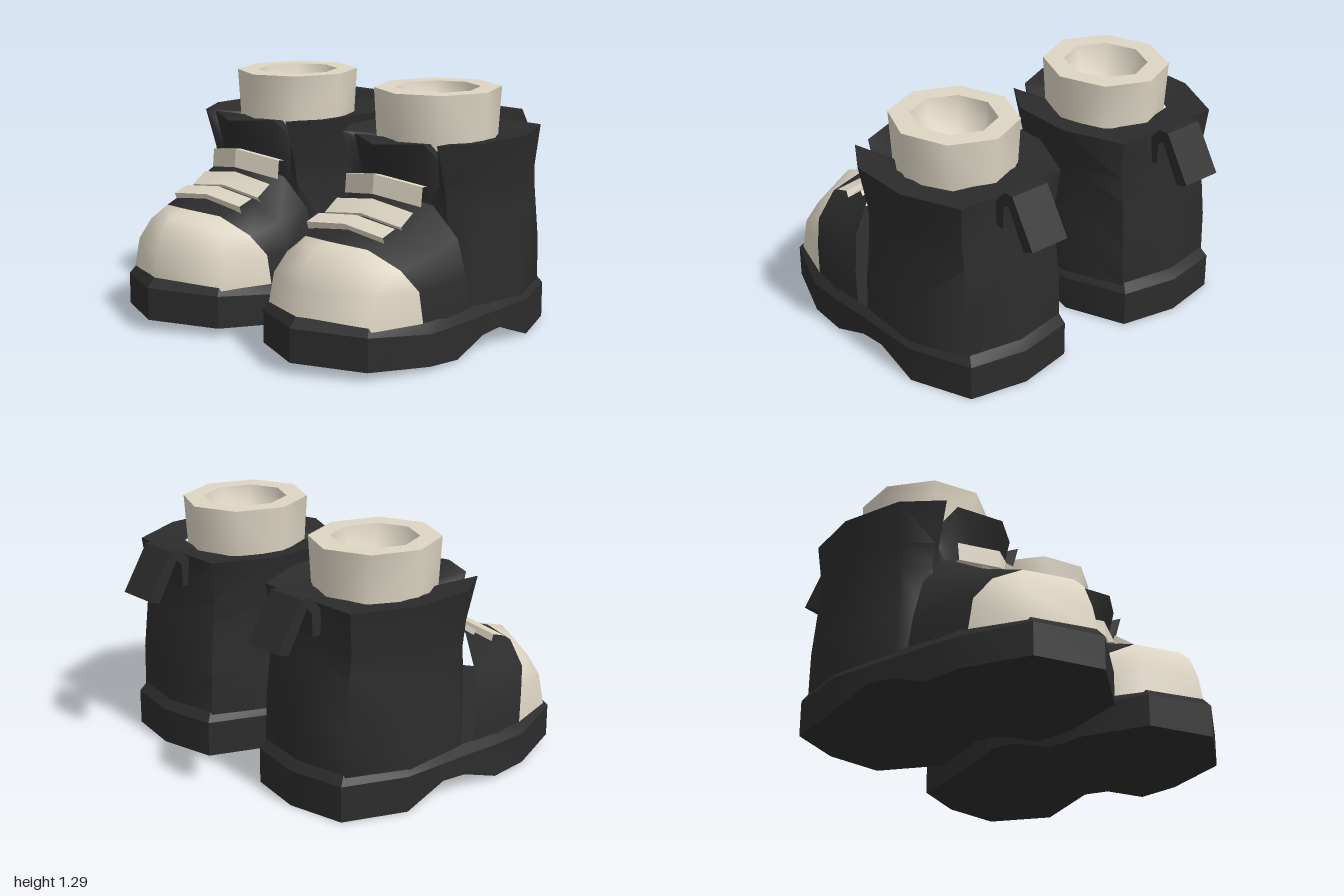
import * as THREE from 'three';
import { toCreasedNormals } from 'three/addons/utils/BufferGeometryUtils.js';

const dark = new THREE.MeshStandardMaterial({ name: 'dark leather', color: 0x2c2c2c });
const cream = new THREE.MeshStandardMaterial({ name: 'cream', color: 0xddd5c3 });

const CX = 0.525; // centre line of one boot

// Half outlines start on the centre line; these mirror them to a ring or an arch.
const flipX = ([x, y, z]) => [-x, y, z];
const ring = (h) => [...h, ...h.slice(1, -1).reverse().map(flipX)];
const arch = (h) => [...h.slice(1).reverse().map(flipX), ...h];
// Rows of left/right pairs that close a ring
const pairs = (h) => h.map((p) => [flipX(p), p]);

// Skins several grids of points into one geometry
function skin(...grids) {
  const pos = [], index = [];
  for (const { rows, closed } of grids) {
    const base = pos.length / 3, n = rows[0].length;
    rows.forEach((r) => r.forEach((p) => pos.push(...p)));
    for (let i = 0; i < rows.length - 1; i++) {
      for (let j = 0; j < (closed ? n : n - 1); j++) {
        const k = (j + 1) % n;
        const a = base + i * n + j, b = base + i * n + k;
        index.push(a, b, b + n, a, b + n, a + n);
      }
    }
  }
  const g = new THREE.BufferGeometry();
  g.setAttribute('position', new THREE.Float32BufferAttribute(pos, 3));
  g.setIndex(index);
  return g;
}

// Mirrored copy with the corner order restored
function mirrored(geo) {
  const g = geo.clone().scale(-1, 1, 1);
  for (const attr of Object.values(g.attributes)) {
    const s = attr.itemSize, a = attr.array;
    for (let t = 0; t < a.length; t += 3 * s) {
      for (let k = 0; k < s; k++) {
        const v = a[t + s + k];
        a[t + s + k] = a[t + 2 * s + k];
        a[t + 2 * s + k] = v;
      }
    }
  }
  return g;
}

function soleGeometry() {
  // x, z, underside height, upper edge height
  const plan = [
    [0, 0.93, 0.06, 0.235], [0.355, 0.76, 0.047, 0.22], [0.472, 0.43, 0.025, 0.19],
    [0.472, 0.22, 0.01, 0.19], [0.46, 0, 0.085, 0.19], [0.455, -0.15, 0.095, 0.19],
    [0.445, -0.39, 0, 0.19], [0.31, -0.715, 0, 0.19], [0, -0.775, 0, 0.19],
  ];
  const bottom = plan.map(([x, z, b]) => [x, b, z]);
  const edge = plan.map(([x, z, , t]) => [x, t, z]);
  const bevel = plan.map(([x, z, , t]) => [x * 0.93, t + 0.05, z * 0.95]);
  return skin(
    { rows: [ring(bottom), ring(edge), ring(bevel)], closed: true },
    { rows: pairs(bottom).reverse() },
    { rows: pairs(bevel) },
  );
}

function shaftGeometry() {
  const level = (y, pts) => ring(pts.map(([x, z, h = y]) => [x, h, z]));
  return skin({
    closed: true,
    rows: [
      level(0.2, [[0, 0.15], [0.2, 0.15], [0.27, 0.13], [0.34, 0.1], [0.432, 0], [0.43, -0.37], [0.3, -0.68], [0, -0.737]]),
      level(0.45, [[0, 0.15], [0.2, 0.15], [0.27, 0.13], [0.34, 0.1], [0.42, 0], [0.42, -0.37], [0.3, -0.675], [0, -0.735]]),
      level(0.72, [[0, 0.17], [0.2, 0.15], [0.26, 0.12], [0.31, 0.12], [0.395, -0.02], [0.4, -0.35], [0.29, -0.65], [0, -0.71]]),
      level(0.85, [[0, 0.22], [0.22, 0.16], [0.26, 0.12], [0.31, 0.14], [0.405, -0.01], [0.41, -0.35], [0.295, -0.635], [0, -0.685]]),
      // Collar rim with a notch on either side of the tongue
      level(1.07, [[0, 0.33, 1.055], [0.23, 0.215], [0.265, 0.12, 0.97], [0.315, 0.21], [0.445, 0], [0.447, -0.35], [0.31, -0.66], [0, -0.665]]),
      level(1.04, [[0, 0.1], [0.15, 0.06], [0.19, 0.04, 0.99], [0.22, 0], [0.28, -0.1], [0.28, -0.3], [0.2, -0.45], [0, -0.5]]),
    ],
  });
}

// Edge shared by the toe cap and the vamp
const capEdge = [[0, 0.615, 0.65], [0.21, 0.6, 0.6], [0.36, 0.51, 0.53], [0.42, 0.4, 0.46], [0.432, 0.23, 0.44]];

function toeCapGeometry() {
  return skin({
    rows: [
      [[0, 0.25, 0.89], [0.35, 0.23, 0.73], capEdge[4]],
      [[0, 0.41, 0.865], [0.335, 0.41, 0.7], capEdge[3]],
      [[0, 0.53, 0.82], [0.28, 0.52, 0.66], capEdge[2]],
      [[0, 0.585, 0.765], [0.17, 0.59, 0.65], capEdge[1]],
      [capEdge[0], capEdge[0], capEdge[0]],
    ].map(arch),
  });
}

function vampGeometry() {
  return skin({
    rows: [
      capEdge,
      [[0, 0.675, 0.42], [0.26, 0.645, 0.4], [0.395, 0.54, 0.34], [0.435, 0.4, 0.3], [0.445, 0.23, 0.27]],
      [[0, 0.8, 0.2], [0.27, 0.76, 0.18], [0.39, 0.6, 0.13], [0.425, 0.4, 0.1], [0.435, 0.22, 0.08]],
    ].map(arch),
  });
}

// Chevron band: centre, run across its width and drop of its ends, all in (z, y)
function laceGeometry([cz, cy], [dz, dy], [ez, ey]) {
  const len = Math.hypot(dz, dy), t = 0.02;
  const nz = (dy / len) * t, ny = (-dz / len) * t;
  const section = (x, oz, oy) => [[-1, 1], [1, 1], [1, -1], [-1, -1]].map(([a, b]) =>
    [x, cy + oy + (a * dy) / 2 + b * ny, cz + oz + (a * dz) / 2 + b * nz]);
  const left = section(-0.258, ez, ey), mid = section(0, 0, 0), right = section(0.258, ez, ey);
  const cap = ([a, b, c, d]) => ({ rows: [[a, b], [d, c]] });
  const [a, b, c, d] = left;
  return skin({ rows: [left, mid, right].map((r) => [...r].reverse()), closed: true }, cap([b, a, d, c]), cap(right))
    .translate(-0.02, 0, 0);
}

function sockGeometry() {
  const profile = [[0.315, 1], [0.332, 1.29], [0.222, 1.29], [0.2, 1.19], [0.13, 1.11], [0, 1.08]];
  return new THREE.LatheGeometry(profile.map(([x, y]) => new THREE.Vector2(x, y)), 8)
    .scale(0.98, 1, 1.04).translate(-0.013, 0, -0.193);
}

function pullTabGeometry() {
  const side = [[-0.655, 0.91], [-0.655, 1.04], [-0.69, 1.08], [-0.725, 1.115], [-0.78, 1.115], [-0.93, 0.875],
    [-0.865, 0.85], [-0.745, 1.06], [-0.715, 1.03], [-0.71, 0.91]];
  const shape = new THREE.Shape(side.map(([z, y]) => new THREE.Vector2(z, y)));
  return new THREE.ExtrudeGeometry(shape, { depth: 0.22, bevelEnabled: false })
    .rotateY(-Math.PI / 2).translate(0.1, 0, 0);
}

export function createModel() {
  const model = new THREE.Group();
  model.name = 'bootPair';
  const left = new THREE.Group(), right = new THREE.Group();
  left.name = 'leftBoot';
  right.name = 'rightBoot';
  model.add(left, right);

  const add = (name, geo, material, crease) => {
    geo.deleteAttribute('uv');
    const g = toCreasedNormals(geo.translate(CX, 0, 0), crease);
    for (const [group, shape] of [[left, g], [right, mirrored(g)]]) {
      const mesh = new THREE.Mesh(shape, material);
      mesh.name = name;
      group.add(mesh);
    }
  };

  add('sole', soleGeometry(), dark, 0.5);
  add('shaft', shaftGeometry(), dark, 1);
  add('vamp', vampGeometry(), dark, 1);
  add('toeCap', toeCapGeometry(), cream, 1);
  add('sock', sockGeometry(), cream, 0.9);
  add('pullTab', pullTabGeometry(), dark, 0.3);

  const laces = [
    [[0.47, 0.675], [-0.09, 0.03], [0, -0.03]],
    [[0.34, 0.725], [-0.09, 0.06], [-0.01, -0.035]],
    [[0.285, 0.845], [-0.01, 0.1], [-0.075, -0.042]],
  ];
  laces.forEach((l, i) => add('lace' + (i + 1), laceGeometry(...l), cream, 0.3));
  return model;
}
